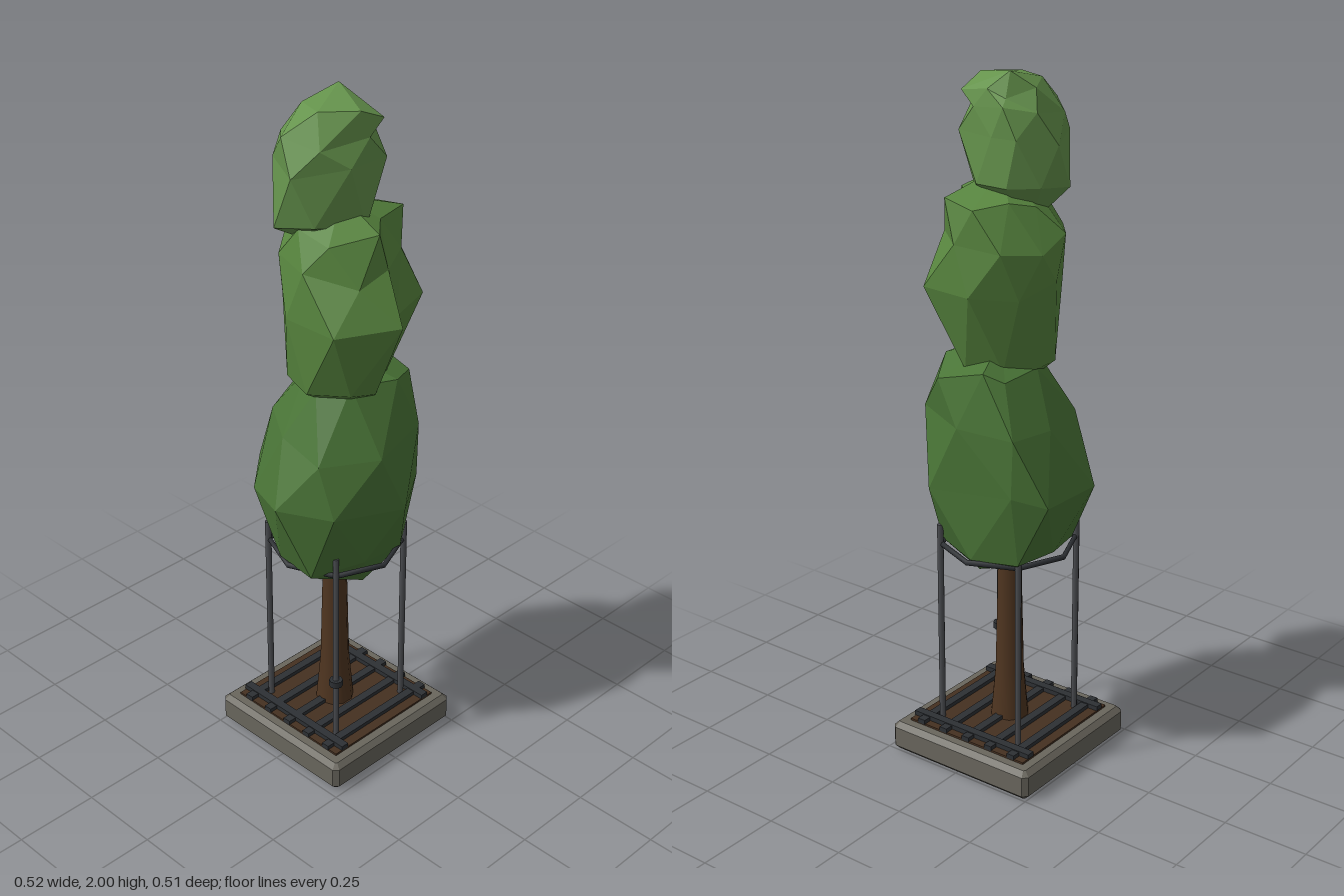
import * as THREE from 'three';

const C = -0.01; // planter centre in x and z

function seeded(seed) {
  return () => ((seed = (seed * 16807) % 2147483647) / 2147483647);
}

function mat(color, flatShading = false) {
  return new THREE.MeshStandardMaterial({ color, flatShading });
}

function add(parent, name, geometry, material, x = 0, y = 0, z = 0) {
  const mesh = new THREE.Mesh(geometry, material);
  mesh.name = name;
  mesh.position.set(x, y, z);
  parent.add(mesh);
  return mesh;
}

// Faceted leaf clump: an outline swept through staggered, jittered rings.
// Odd rings follow the outline's corners, even rings its edge midpoints.
// Each ring is [y, xMin, xMax, zMin, zMax]; tips are [x, y, z].
function clump(outline, rings, bottom, top, seed) {
  const rnd = seeded(seed), n = outline.length;
  const fit = (v, a, b, lo, hi) => lo + ((v - a) / (b - a)) * (hi - lo);
  const loops = rings.map(([y, x0, x1, z0, z1], k) => {
    const pts = outline.map(([x, z], i) => {
      const [u, w] = outline[(i + 1) % n];
      const s = 0.96 + 0.08 * rnd();
      return k % 2 ? [x, z] : [(x + u) / 2 * s, (z + w) / 2 * s];
    });
    const xs = pts.map(p => p[0]), zs = pts.map(p => p[1]);
    const a = Math.min(...xs), b = Math.max(...xs), c = Math.min(...zs), d = Math.max(...zs);
    return pts.map(p => [fit(p[0], a, b, x0, x1), y + (rnd() - 0.5) * 0.05, fit(p[1], c, d, z0, z1)]);
  });
  const pos = [];
  const tri = (...p) => p.forEach(q => pos.push(...q));
  const last = loops[loops.length - 1];
  for (let i = 0; i < n; i++) {
    const j = (i + 1) % n;
    tri(bottom, loops[0][i], loops[0][j]);
    tri(last[i], top, last[j]);
    for (let k = 0; k < loops.length - 1; k++) {
      const lo = loops[k], up = loops[k + 1];
      if (k % 2) {
        tri(lo[i], up[i], lo[j]);
        tri(lo[j], up[i], up[j]);
      } else {
        tri(lo[i], up[j], lo[j]);
        tri(lo[i], up[i], up[j]);
      }
    }
  }
  const g = new THREE.BufferGeometry();
  g.setAttribute('position', new THREE.Float32BufferAttribute(pos, 3));
  g.computeVertexNormals();
  return g;
}

export function createModel() {
  const model = new THREE.Group();
  model.name = 'streetTree';
  const stone = mat(0x69665d, true), soil = mat(0x453020), bark = mat(0x4f3520);
  const iron = mat(0x2d3034), steel = mat(0x4a4c50);

  // Stone kerb with chamfered edges and corners
  const h = 0.23, c = 0.005;
  const square = new THREE.Shape([
    [h, -h + c], [h, h - c], [h - c, h], [-h + c, h],
    [-h, h - c], [-h, -h + c], [-h + c, -h], [h - c, -h],
  ].map(p => new THREE.Vector2(...p)));
  const kerb = new THREE.ExtrudeGeometry(square, {
    depth: 0.06, bevelSize: 0.015, bevelThickness: 0.015, bevelSegments: 1,
  });
  kerb.rotateX(-Math.PI / 2);
  add(model, 'kerb', kerb, stone, C, 0.017, C);
  add(model, 'soil', new THREE.BoxGeometry(0.41, 0.02, 0.41), soil, C, 0.088, C);

  // Iron grate
  const grate = new THREE.Group();
  grate.name = 'grate';
  model.add(grate);
  for (let i = -2; i <= 2; i++)
    add(grate, 'slat', new THREE.BoxGeometry(0.025, 0.014, 0.415), iron, C + i * 0.0813, 0.103, C);
  for (const s of [-1, 1])
    add(grate, 'crossBar', new THREE.BoxGeometry(0.415, 0.014, 0.025), iron, C, 0.106, C + s * 0.17);

  // Guard posts, hoop and clamp
  const guard = new THREE.Group();
  guard.name = 'guard';
  model.add(guard);
  for (const sx of [-1, 1])
    for (const sz of [-1, 1])
      add(guard, 'post', new THREE.CylinderGeometry(0.009, 0.009, 0.615, 8), steel,
        C + sx * 0.138, 0.4075, C + sz * 0.138);
  const hoop = new THREE.TorusGeometry(0.192, 0.008, 6, 8);
  hoop.rotateX(Math.PI / 2);
  add(guard, 'hoop', hoop, iron, C, 0.655, C);
  add(guard, 'clamp', new THREE.CylinderGeometry(0.02, 0.02, 0.02, 8), iron, C + 0.138, 0.287, C + 0.138);

  // Flared trunk
  const trunk = [[0.057, 0.095], [0.043, 0.25], [0.037, 0.5], [0.032, 0.8]]
    .map(p => new THREE.Vector2(...p));
  add(model, 'trunk', new THREE.LatheGeometry(trunk, 10), bark, C, 0, -0.005);

  // Three stacked leaf clumps
  add(model, 'lowerFoliage', clump(
    [[-0.25, -0.17], [-0.165, -0.225], [0.12, -0.225], [0.235, -0.05],
      [0.165, 0.165], [0.02, 0.25], [-0.155, 0.165], [-0.26, 0.04]],
    [[0.67, -0.2, 0.16, -0.19, 0.18], [0.87, -0.26, 0.235, -0.205, 0.255],
      [1.04, -0.2, 0.21, -0.225, 0.18], [1.2, -0.12, 0.15, -0.2, 0.11]],
    [0.08, 0.545, -0.03], [0.0, 1.26, -0.03], 11), mat(0x4a7537, true));
  add(model, 'middleFoliage', clump(
    [[-0.185, -0.03], [-0.13, -0.12], [-0.03, -0.21], [0.13, -0.2], [0.16, -0.07],
      [0.26, 0.01], [0.16, 0.16], [-0.02, 0.16], [-0.13, 0.07]],
    [[1.22, -0.13, 0.15, -0.15, 0.155], [1.43, -0.18, 0.26, -0.21, 0.17],
      [1.55, -0.175, 0.17, -0.205, 0.165], [1.66, -0.12, 0.155, -0.185, 0.12]],
    [0.0, 1.08, -0.05], [0.02, 1.73, 0.0], 29), mat(0x58863f, true));
  add(model, 'topFoliage', clump(
    [[-0.165, 0.0], [-0.1, -0.1], [-0.03, -0.115], [0.1, -0.09],
      [0.1, 0.04], [0.0, 0.16], [-0.12, 0.11]],
    [[1.68, -0.155, 0.09, -0.11, 0.155], [1.82, -0.165, 0.095, -0.115, 0.16],
      [1.9, -0.14, 0.1, -0.11, 0.14], [1.955, -0.11, 0.09, -0.1, 0.08]],
    [-0.06, 1.58, 0.02], [-0.06, 2.0, -0.07], 47), mat(0x65934c, true));

  return model;
}
